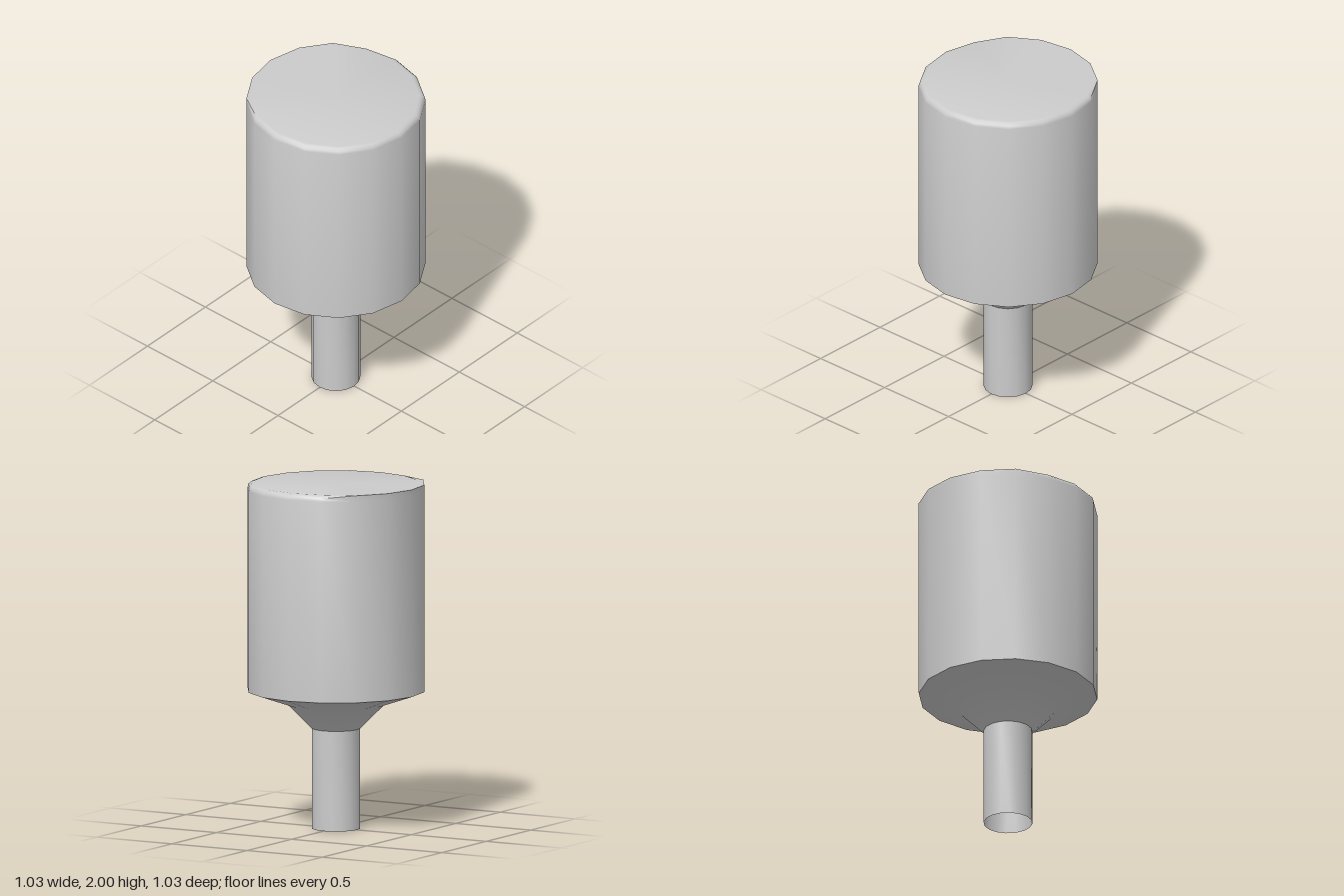
import * as THREE from 'three';
import { toCreasedNormals } from 'three/addons/utils/BufferGeometryUtils.js';

const SIDES = 16;
const TURN = -0.027; // slight twist of the facets about the axis
const R = 0.513;     // head radius
const BEVEL = 0.035;

const material = new THREE.MeshStandardMaterial({ color: 0xcccccc, side: THREE.DoubleSide });

function lathe(profile) {
  const points = profile.map(([r, y]) => new THREE.Vector2(r, y));
  return new THREE.LatheGeometry(points, SIDES, TURN, Math.PI * 2);
}

function addPart(group, name, geometry) {
  const mesh = new THREE.Mesh(toCreasedNormals(geometry, 0.75), material);
  mesh.name = name;
  group.add(mesh);
}

export function createModel() {
  const group = new THREE.Group();
  group.name = 'mallet';

  // Hollow stem, open at the bottom
  addPart(group, 'stem', lathe([[0.14, 0], [0.14, 0.58]]));

  // Flared underside between stem and head
  addPart(group, 'flare', lathe([[0.14, 0.58], [0.28, 0.72], [R, 0.8]]));

  // Head: straight wall, rounded rim, flat top
  const profile = [[R, 0.8]];
  const steps = 3;
  for (let i = 0; i <= steps; i++) {
    const a = (i / steps) * Math.PI / 2;
    profile.push([R - BEVEL * (1 - Math.cos(a)), 2 - BEVEL * (1 - Math.sin(a))]);
  }
  profile.push([0, 2]);
  const head = lathe(profile);

  // The rim is left sharp along the back quarter
  const pos = head.attributes.position;
  const n = profile.length;
  for (let s = 6; s <= 10; s++) {
    const angle = TURN + (s / SIDES) * Math.PI * 2;
    for (let j = 2; j <= steps; j++) {
      pos.setXYZ(s * n + j, R * Math.sin(angle), 2, R * Math.cos(angle));
    }
  }
  addPart(group, 'head', head);

  return group;
}
